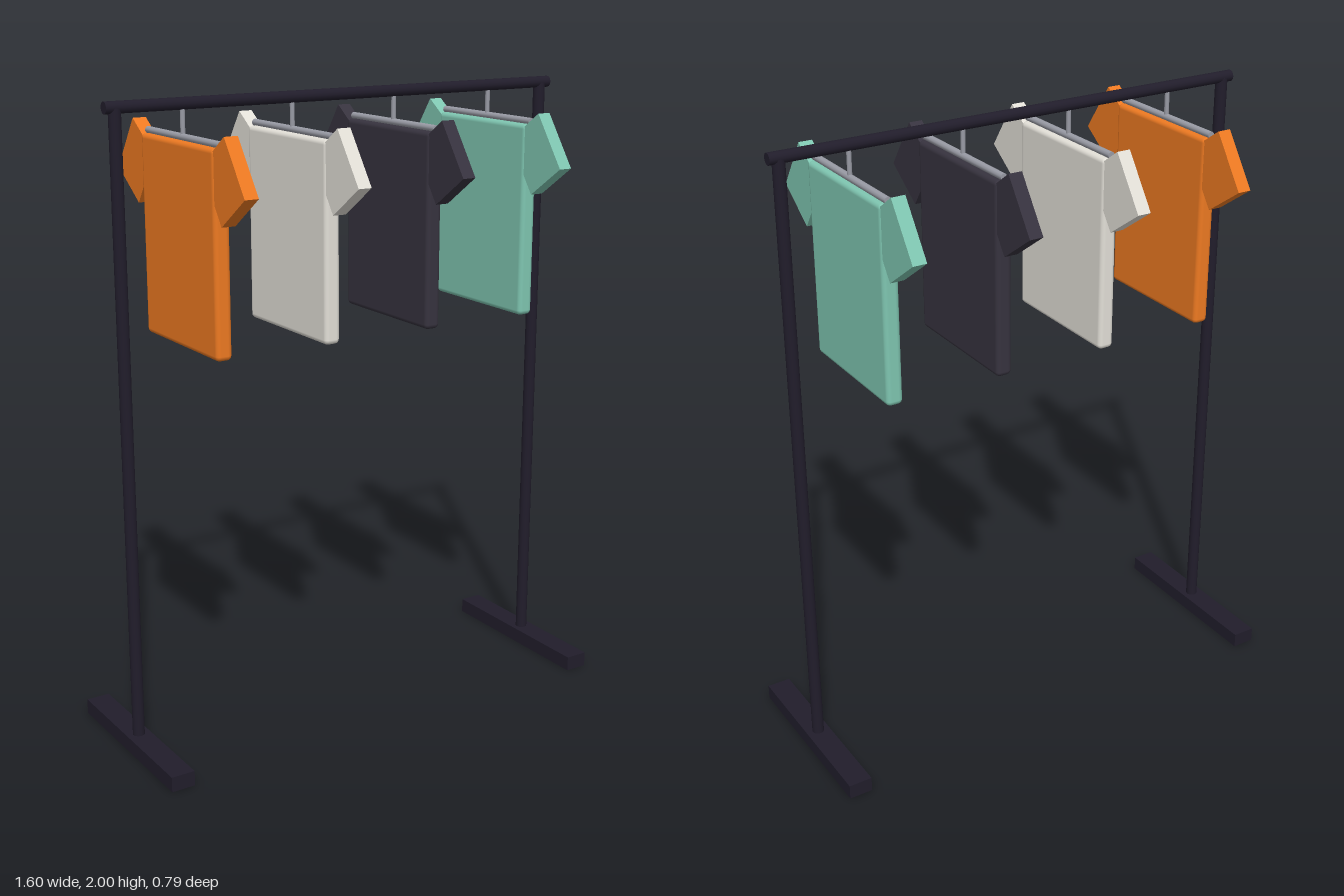
import * as THREE from 'three';
import { RoundedBoxGeometry } from 'three/addons/geometries/RoundedBoxGeometry.js';

const mat = (color) => new THREE.MeshStandardMaterial({ color });

function add(parent, name, geometry, material, x = 0, y = 0, z = 0) {
  const mesh = new THREE.Mesh(geometry, material);
  mesh.name = name;
  mesh.position.set(x, y, z);
  parent.add(mesh);
  return mesh;
}

// One shirt on its hanger, facing sideways along the rail
function createShirt(color, metal) {
  const shirt = new THREE.Group();
  shirt.name = 'hangingShirt';
  const cloth = mat(color);
  add(shirt, 'torso', new RoundedBoxGeometry(0.052, 0.61, 0.454, 2, 0.015), cloth, 0, 1.573, 0);
  for (const side of [1, -1]) {
    const name = side > 0 ? 'frontSleeve' : 'backSleeve';
    const sleeve = add(shirt, name, new THREE.BoxGeometry(0.044, 0.164, 0.194), cloth, 0, 1.79, side * 0.273);
    sleeve.rotation.x = side * 0.96;
  }
  const bar = add(shirt, 'hangerBar', new THREE.CylinderGeometry(0.011, 0.011, 0.45, 10), metal, 0, 1.886, 0);
  bar.rotation.x = Math.PI / 2;
  add(shirt, 'hangerHook', new THREE.CylinderGeometry(0.0075, 0.0075, 0.1, 8), metal, 0, 1.93, 0);
  return shirt;
}

export function createModel() {
  const model = new THREE.Group();
  model.name = 'clothesRack';
  const frame = mat(0x211d2b);
  const metal = mat(0x9a9ca6);

  // Top rail
  const rail = add(model, 'topRail', new THREE.CylinderGeometry(0.018, 0.018, 1.59, 14), frame, 0, 1.982, 0);
  rail.rotation.z = Math.PI / 2;

  // Posts on long feet
  for (const side of [1, -1]) {
    const label = side > 0 ? 'left' : 'right';
    add(model, label + 'Post', new THREE.CylinderGeometry(0.019, 0.019, 1.95, 14), frame, side * 0.762, 1.005, 0);
    add(model, label + 'Foot', new THREE.BoxGeometry(0.076, 0.048, 0.606), frame, side * 0.763, 0.024, 0);
  }

  // Row of shirts
  [0xee7a22, 0xe3e0d8, 0x37333f, 0x7fc6b1].forEach((color, i) => {
    const shirt = createShirt(color, metal);
    shirt.position.x = -0.55 + i * 0.3667;
    model.add(shirt);
  });

  return model;
}
